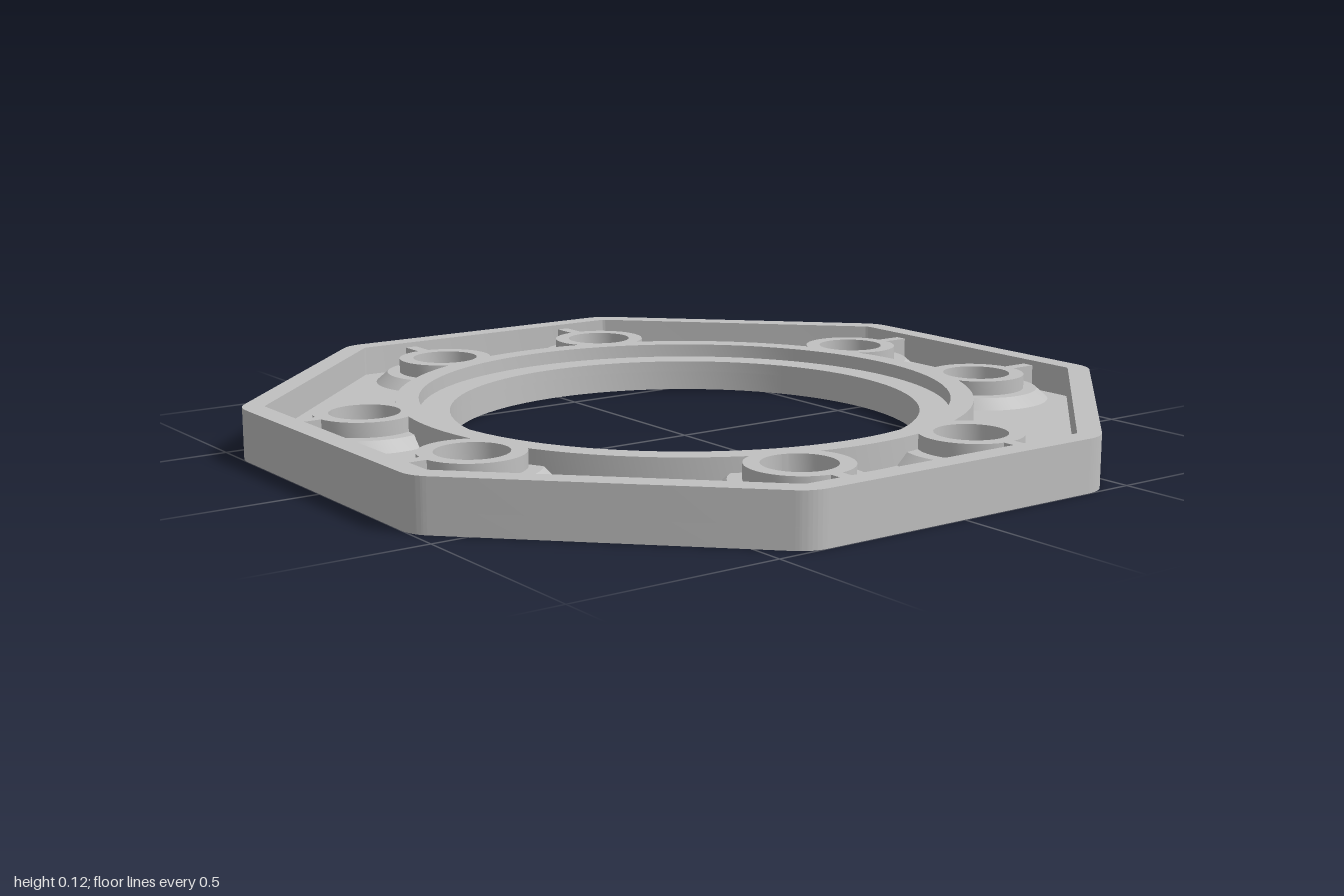
import * as THREE from 'three';
import { toCreasedNormals } from 'three/addons/utils/BufferGeometryUtils.js';

const FLOOR = 0.05, TOP = 0.125, DECK = 0.112; // pocket floor, rim and boss heights
const HOLE = 0.58; // radius of the central opening

// Regular octagon with flats at the given distance; corners rounded by the cut length.
function octagon(apothem, cut, Type = THREE.Shape) {
  const path = new Type();
  const corners = [];
  for (let i = 0; i < 8; i++) {
    const a = (i + 0.5) * Math.PI / 4, r = apothem / Math.cos(Math.PI / 8);
    corners.push(new THREE.Vector2(Math.cos(a) * r, Math.sin(a) * r));
  }
  corners.forEach((c, i) => {
    const toward = (o) => o.clone().sub(c).setLength(cut).add(c);
    const a = toward(corners[(i + 7) % 8]), b = toward(corners[(i + 1) % 8]);
    if (i === 0) path.moveTo(a.x, a.y);
    else path.lineTo(a.x, a.y);
    path.quadraticCurveTo(c.x, c.y, b.x, b.y);
  });
  path.closePath();
  return path;
}

function circle(x, y, r) {
  return new THREE.Path().absarc(x, y, r, 0, Math.PI * 2, true);
}

// Flat shape raised from y0 to y1.
function slab(shape, y0, y1) {
  const g = new THREE.ExtrudeGeometry(shape, { depth: y1 - y0, bevelEnabled: false, curveSegments: 48 });
  g.rotateX(-Math.PI / 2).translate(0, y0, 0);
  return toCreasedNormals(g, 0.5);
}

function turned(profile, segments) {
  const pts = profile.map(([r, y]) => new THREE.Vector2(r, y));
  return toCreasedNormals(new THREE.LatheGeometry(pts, segments), 0.4);
}

export function createModel() {
  const model = new THREE.Group();
  model.name = 'octagonalFlange';
  const grey = new THREE.MeshStandardMaterial({ color: 0xc0c0c0 });
  grey.name = 'light grey';
  const add = (parent, name, geometry) => {
    const mesh = new THREE.Mesh(geometry, grey);
    mesh.name = name;
    parent.add(mesh);
    return mesh;
  };

  // Two bosses on each of the four main sides
  const bosses = [];
  for (let k = 0; k < 4; k++) {
    for (const s of [-1, 1]) bosses.push({ angle: k * Math.PI / 2, side: s * 0.25 });
  }
  const out = 0.755;

  // Floor plate with the central opening and the countersunk holes
  const floor = octagon(1, 0.04);
  floor.holes.push(circle(0, 0, HOLE));
  for (const { angle, side } of bosses) {
    const c = Math.cos(angle), s = Math.sin(angle);
    floor.holes.push(circle(c * side + s * out, s * side - c * out, 0.15));
  }
  add(model, 'floorPlate', slab(floor, 0, FLOOR));

  // Raised outer rim
  const rim = octagon(1, 0.04);
  rim.holes.push(octagon(0.945, 0.008, THREE.Path));
  add(model, 'outerRim', slab(rim, FLOOR, TOP));

  // Stepped ring around the opening
  add(model, 'innerRing', turned([
    [0.711, FLOOR], [0.711, DECK], [0.655, DECK], [0.655, 0.078], [HOLE, 0.078], [HOLE, FLOOR],
  ], 96));

  // Screw boss: conical foot, shoulder, collar, bore and countersink
  const bossGeometry = turned([
    [0.185, FLOOR], [0.155, 0.076], [0.122, 0.076], [0.122, DECK],
    [0.085, DECK], [0.085, 0.04], [0.115, 0.04], [0.15, 0],
  ], 48);
  // Thin rib tying each boss to the rim
  const ribGeometry = new THREE.BoxGeometry(0.032, DECK - FLOOR, 0.085);
  ribGeometry.translate(0, (DECK + FLOOR) / 2, 0.155);

  bosses.forEach(({ angle, side }) => {
    const arm = new THREE.Group();
    arm.name = 'screwBoss';
    arm.rotation.y = angle;
    add(arm, 'boss', bossGeometry).position.set(side, 0, out);
    add(arm, 'rib', ribGeometry).position.set(side, 0, out);
    model.add(arm);
  });
  return model;
}
